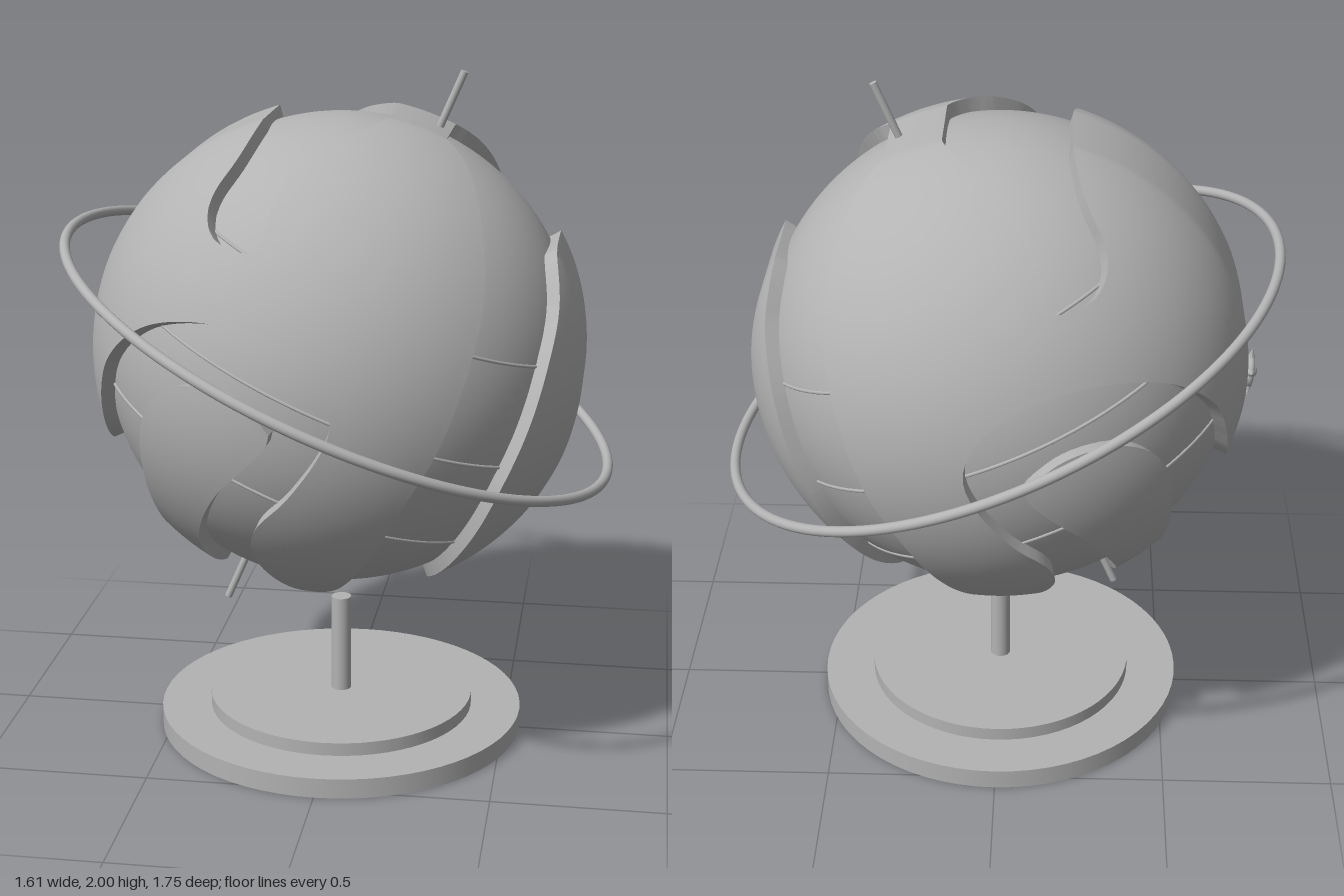
import * as THREE from 'three';
import { toCreasedNormals } from 'three/addons/utils/BufferGeometryUtils.js';

const CENTRE = 1.19, SEA = 0.685, LAND = 0.725, RIM = 0.713;
const TILT = -Math.atan2(0.7, 1.62);

// Coastlines as seen from the front (x, y); each one is mirrored onto the back.
const coast = (pts, closeBy = []) => new THREE.SplineCurve(pts.map(p => new THREE.Vector2(p[0], p[1] - CENTRE)))
  .getPoints(90).concat(closeBy.map(p => new THREE.Vector2(p[0], p[1] - CENTRE)));

const northSea = coast([[-0.19, 1.9], [-0.235, 1.8], [-0.285, 1.72], [-0.295, 1.66], [-0.26, 1.61], [-0.17, 1.59],
  [-0.13, 1.62], [-0.11, 1.7], [-0.06, 1.78], [0.02, 1.84], [0.1, 1.87], [0.17, 1.89]], [[0.17, 2], [-0.19, 2]]);

const eastSea = [
  ...coast([[0.2, 1.895], [0.3, 1.84], [0.38, 1.77], [0.43, 1.66], [0.455, 1.5], [0.445, 1.38], [0.41, 1.24],
    [0.35, 1.08], [0.25, 0.9], [0.15, 0.72], [0.05, 0.58], [-0.03, 0.52], [-0.07, 0.48]], [[-0.07, 0.35], [0.24, 0.35]]),
  ...coast([[0.245, 0.5], [0.33, 0.6], [0.42, 0.74], [0.49, 0.88], [0.575, 1.08], [0.625, 1.26], [0.645, 1.4],
    [0.625, 1.54]], [[0.85, 1.54], [0.85, 2.1], [0.2, 2.1]]),
];

const southSea = coast([[-0.66, 0.91], [-0.655, 1.0], [-0.645, 1.1], [-0.61, 1.22], [-0.53, 1.32], [-0.42, 1.385],
  [-0.27, 1.41], [-0.12, 1.385], [0, 1.32], [0.06, 1.24], [0.075, 1.16], [0.04, 1.07], [-0.05, 0.94], [-0.14, 0.84],
  [-0.17, 0.76], [-0.16, 0.68], [-0.11, 0.58], [-0.05, 0.5]], [[-0.05, 0.35], [-0.85, 0.35], [-0.85, 0.91]]);

const island = coast([[-0.46, 0.62], [-0.475, 0.75], [-0.49, 0.9], [-0.485, 1.06], [-0.44, 1.17], [-0.36, 1.23],
  [-0.27, 1.24], [-0.18, 1.215], [-0.1, 1.15], [-0.09, 1.115], [-0.13, 1.06], [-0.25, 0.93], [-0.32, 0.8],
  [-0.345, 0.68], [-0.32, 0.54]], [[-0.3, 0.4], [-0.5, 0.5]]);

// Signed distance to a closed outline, positive outside.
function distance(x, y, loop) {
  let best = Infinity, inside = false;
  for (let i = 0, j = loop.length - 1; i < loop.length; j = i++) {
    const a = loop[j], b = loop[i], dx = b.x - a.x, dy = b.y - a.y;
    const t = Math.min(1, Math.max(0, ((x - a.x) * dx + (y - a.y) * dy) / (dx * dx + dy * dy || 1)));
    best = Math.min(best, Math.hypot(x - a.x - t * dx, y - a.y - t * dy));
    if ((a.y > y) !== (b.y > y) && x < a.x + ((y - a.y) / dy) * dx) inside = !inside;
  }
  return inside ? -best : best;
}

// Land is spherical, with a straight band where the front and back halves meet.
function landPoint(dir) {
  const p = dir.clone().normalize().multiplyScalar(LAND), rho = Math.hypot(p.x, p.y);
  if (rho > RIM) { p.x *= RIM / rho; p.y *= RIM / rho; }
  return p;
}

function landHeight(dir) {
  const { x, y } = landPoint(dir);
  const shore = Math.min(...[northSea, eastSea, southSea].map(s => distance(x, y, s)));
  return Math.max(shore, -distance(x, y, island));
}

// Clip a sphere along the coastlines and drop a cliff along each cut.
function landGeometry() {
  const ball = new THREE.SphereGeometry(1, 160, 80), pos = ball.attributes.position, index = ball.index;
  const verts = [], out = [];
  for (let i = 0; i < pos.count; i++) {
    const d = new THREE.Vector3().fromBufferAttribute(pos, i);
    verts.push({ d, h: landHeight(d) });
  }
  const tri = (...ps) => ps.forEach(p => out.push(p.x, p.y, p.z));
  for (let i = 0; i < index.count; i += 3) {
    const corners = [0, 1, 2].map(k => verts[index.getX(i + k)]);
    const poly = [];
    let leave = null, enter = null;
    corners.forEach((a, k) => {
      const b = corners[(k + 1) % 3];
      if (a.h > 0) poly.push(a.d);
      if ((a.h > 0) !== (b.h > 0)) {
        const cut = a.d.clone().lerp(b.d, a.h / (a.h - b.h));
        poly.push(cut);
        if (a.h > 0) leave = cut; else enter = cut;
      }
    });
    const top = poly.map(landPoint);
    for (let k = 2; k < top.length; k++) tri(top[0], top[k - 1], top[k]);
    if (leave && enter) {
      const p = landPoint(leave), q = landPoint(enter);
      const p0 = leave.clone().setLength(SEA - 0.015), q0 = enter.clone().setLength(SEA - 0.015);
      tri(q, p, p0);
      tri(q, p0, q0);
    }
  }
  const geo = new THREE.BufferGeometry();
  geo.setAttribute('position', new THREE.Float32BufferAttribute(out, 3));
  return toCreasedNormals(geo, 0.6);
}

export function createModel() {
  const model = new THREE.Group();
  const grey = new THREE.MeshStandardMaterial({ color: 0xb3b3b3 });
  grey.name = 'plain grey';
  const add = (name, geo, parent, x = 0, y = 0, z = 0) => {
    const mesh = new THREE.Mesh(geo, grey);
    mesh.name = name;
    mesh.position.set(x, y, z);
    parent.add(mesh);
    return mesh;
  };

  // Stand
  const stand = new THREE.Group();
  stand.name = 'stand';
  model.add(stand);
  add('baseDisc', new THREE.CylinderGeometry(0.55, 0.55, 0.06, 64), stand, 0, 0.03);
  add('baseStep', new THREE.CylinderGeometry(0.4, 0.4, 0.04, 64), stand, 0, 0.08);
  add('post', new THREE.CylinderGeometry(0.03, 0.03, 0.3, 32), stand, 0, 0.25);

  // Globe
  const globe = new THREE.Group();
  globe.name = 'globe';
  globe.position.y = CENTRE;
  model.add(globe);
  add('ocean', new THREE.SphereGeometry(SEA, 96, 64), globe);
  add('land', landGeometry(), globe);

  // Tilted axis rod, outer ring and latitude lines
  const tilted = new THREE.Group();
  tilted.name = 'tiltedAxis';
  tilted.rotation.z = TILT;
  globe.add(tilted);
  add('axisRod', new THREE.CylinderGeometry(0.011, 0.011, 1.766, 16), tilted);
  add('outerRing', new THREE.TorusGeometry(0.86, 0.015, 16, 128), tilted).rotation.x = Math.PI / 2;
  for (const h of [-0.285, 0, 0.285]) {
    const r = Math.sqrt(SEA * SEA - h * h);
    add('latitudeLine', new THREE.TorusGeometry(r, 0.005, 8, 128), tilted, 0, h).rotation.x = Math.PI / 2;
  }

  // Small raised ornament on the -x side
  const ornament = new THREE.Group();
  ornament.name = 'ornament';
  ornament.position.set(-0.715, 1.125, 0);
  ornament.rotation.z = 0.1;
  model.add(ornament);
  const loop = add('ornamentLoop', new THREE.TorusGeometry(0.038, 0.012, 8, 24), ornament, -0.012);
  loop.rotation.y = Math.PI / 2;
  add('ornamentCore', new THREE.SphereGeometry(0.022, 16, 12), ornament, -0.014);
  for (let i = 0; i < 5; i++) {
    const a = (i / 5) * Math.PI * 2;
    const spike = add('ornamentSpike', new THREE.ConeGeometry(0.012, 0.03, 8), ornament,
      -0.012, Math.cos(a) * 0.058, Math.sin(a) * 0.058);
    spike.rotation.x = a;
  }
  return model;
}
